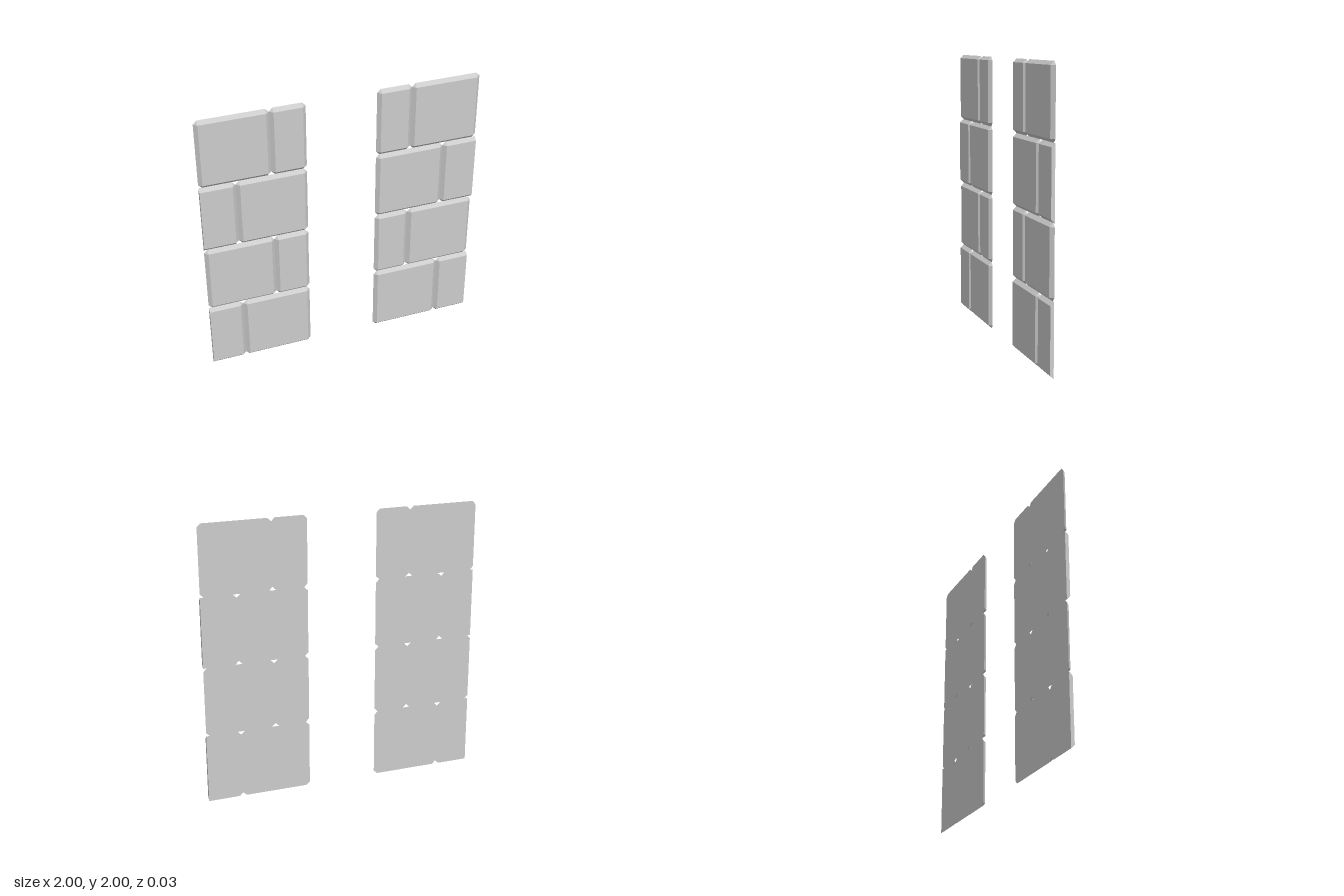
import * as THREE from 'three';
import { ConvexGeometry } from 'three/addons/geometries/ConvexGeometry.js';

const BEVEL = 0.025; // bevel width and corner cut
const HALF_DEPTH = 0.0125;
const ROW = 0.5;

// Bevelled block from x0 to x1; a side flagged as cut is sawn off square.
function blockGeometry(x0, x1, cutLeft, cutRight) {
  const points = [];
  for (const [x, dir, cut] of [[x0, 1, cutLeft], [x1, -1, cutRight]]) {
    const inset = cut ? 0 : BEVEL * dir;
    for (const [y, up] of [[0, 1], [ROW, -1]]) {
      // back outline with clipped corner
      points.push(new THREE.Vector3(x + inset, y, -HALF_DEPTH));
      if (!cut) points.push(new THREE.Vector3(x, y + BEVEL * up, -HALF_DEPTH));
      // inset front face
      points.push(new THREE.Vector3(x + inset, y + BEVEL * up, HALF_DEPTH));
    }
  }
  return new ConvexGeometry(points);
}

export function createModel() {
  const model = new THREE.Group();
  model.name = 'quoinPanels';
  const material = new THREE.MeshStandardMaterial({ color: 0xcccccc, flatShading: true });

  for (const side of [-1, 1]) {
    const panel = new THREE.Group();
    panel.name = side < 0 ? 'rightPanel' : 'leftPanel';
    for (let row = 0; row < 4; row++) {
      // alternate courses: long block inside with cut outer block, then reversed
      const joint = row % 2 === 0 ? 0.75 : 0.5;
      const outerCut = row % 2 === 0;
      const spans = [[0.25, joint, false, 'innerBlock'], [joint, 1, outerCut, 'outerBlock']];
      for (const [a, b, cut, name] of spans) {
        const geometry = side > 0
          ? blockGeometry(a, b, false, cut)
          : blockGeometry(-b, -a, cut, false);
        const block = new THREE.Mesh(geometry, material);
        block.name = name + (row + 1);
        block.position.y = row * ROW;
        panel.add(block);
      }
    }
    model.add(panel);
  }
  return model;
}
